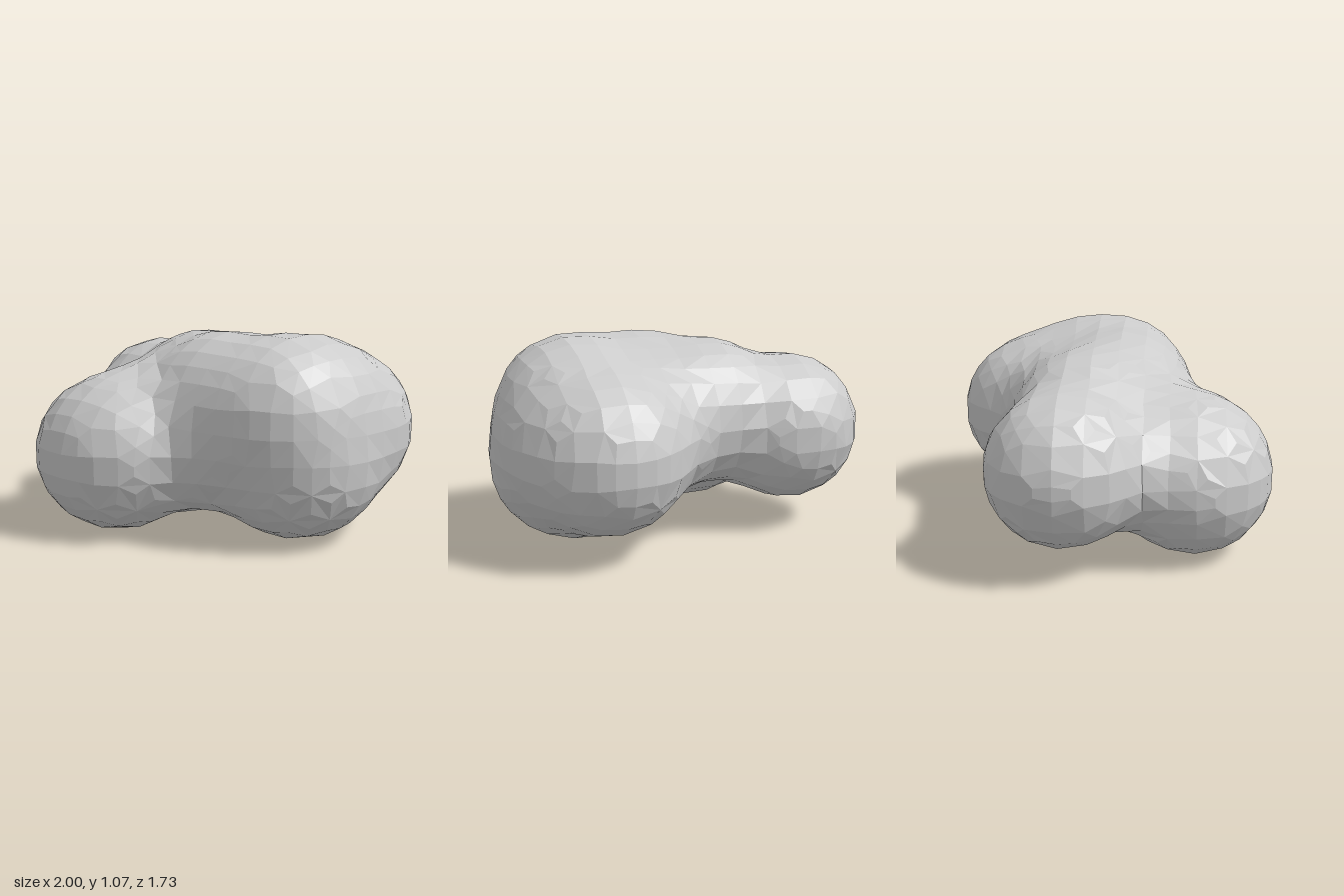
import * as THREE from 'three';

// Lobes of the blob: x, y, z, radius
const LOBES = [
  [-0.33, 0.405, 0.455, 0.393], // front, outer half
  [-0.19, 0.415, 0.455, 0.385], // front, inner half
  [-0.20, 0.55, 0.20, 0.33],    // shoulder behind the front lobe
  [-0.605, 0.53, -0.20, 0.397], // side
  [-0.45, 0.48, 0.15, 0.27],    // bridge from side to front
  [0.60, 0.415, -0.07, 0.39],   // tall end, lower outer
  [0.46, 0.415, -0.07, 0.39],   // tall end, lower inner
  [0.55, 0.68, 0.03, 0.37],     // tall end, upper front
  [0.57, 0.68, -0.17, 0.36],    // tall end, upper back
  [0.36, 0.64, 0.09, 0.345],    // front bulge of the tall end
  [0.60, 0.55, -0.33, 0.37],    // outer flank
  [0.48, 0.54, -0.465, 0.405],  // back
  [0.15, 0.66, 0.05, 0.39],     // middle
  [0.17, 0.60, -0.25, 0.35],    // middle, back half
  [-0.17, 0.64, -0.12, 0.38],   // bridge to the side lobe
  [0.15, 0.45, 0.20, 0.31],     // bridge to the front lobe
];
const BLEND = 0.05;
const STEP = 0.137;
const START = [-1.3885, -0.2825, -1.2415];
const COUNT = [21, 14, 19];

// Smoothly blended distance to all lobes, negative inside
function field(p) {
  let sum = 0;
  for (const [x, y, z, r] of LOBES) {
    sum += Math.exp((r - Math.hypot(p[0] - x, p[1] - y, p[2] - z)) / BLEND);
  }
  return -BLEND * Math.log(sum);
}

// Slide a point along the gradient onto the surface
function project(p) {
  const e = 0.001;
  for (let n = 0; n < 4; n++) {
    const d = field(p);
    const g = [0, 1, 2].map((a) => {
      const q = p.slice();
      q[a] += e;
      return (field(q) - d) / e;
    });
    const len2 = Math.max(0.3, g[0] * g[0] + g[1] * g[1] + g[2] * g[2]);
    for (let a = 0; a < 3; a++) p[a] -= (d * g[a]) / len2;
  }
  return p;
}

// Even out the vertices: move each to the mean of its quads' corners
function relax(points, quads) {
  const sums = points.map(() => [0, 0, 0, 0]);
  for (const q of quads)
    for (const i of q)
      for (const j of q) {
        for (let a = 0; a < 3; a++) sums[i][a] += points[j][a];
        sums[i][3]++;
      }
  return sums.map((s) => project([s[0] / s[3], s[1] / s[3], s[2] / s[3]]));
}

// Coarse grid surface: one vertex per crossed cell, one quad per crossed edge
function blobGeometry() {
  const id = (c) => c[0] + COUNT[0] * (c[1] + COUNT[1] * c[2]);
  const at = (c) => c.map((v, a) => START[a] + v * STEP);
  const shift = (c, a, n) => c.map((v, i) => (i === a ? v + n : v));
  const values = [];
  const cells = [];
  for (let z = 0; z < COUNT[2]; z++)
    for (let y = 0; y < COUNT[1]; y++)
      for (let x = 0; x < COUNT[0]; x++) {
        cells.push([x, y, z]);
        values.push(field(at([x, y, z])));
      }

  const order = new Map(); // cell -> vertex number
  const points = [];
  const quads = [];
  const vertex = (c) => {
    const k = id(c);
    if (!order.has(k)) {
      order.set(k, points.length);
      points.push(project(at(c).map((v) => v + STEP / 2)));
    }
    return order.get(k);
  };
  for (const c of cells) {
    for (let a = 0; a < 3; a++) {
      if (c[a] + 1 >= COUNT[a]) continue;
      const inside = values[id(c)] < 0;
      if (inside === values[id(shift(c, a, 1))] < 0) continue;
      const u = (a + 1) % 3;
      const v = (a + 2) % 3;
      const back = shift(c, u, -1);
      const ring = [c, back, shift(back, v, -1), shift(c, v, -1)].map(vertex);
      quads.push(inside ? ring : ring.reverse());
    }
  }

  const geometry = new THREE.BufferGeometry();
  const positions = relax(points, quads).flat();
  geometry.setAttribute('position', new THREE.Float32BufferAttribute(positions, 3));
  geometry.setIndex(quads.flatMap(([a, b, c, d]) => [a, b, c, a, c, d]));
  geometry.computeVertexNormals();
  return geometry;
}

export function createModel() {
  const group = new THREE.Group();
  group.name = 'lumpyBlob';
  const body = new THREE.Mesh(
    blobGeometry(),
    new THREE.MeshStandardMaterial({ color: 0xcccccc, flatShading: true })
  );
  body.name = 'body';
  group.add(body);
  return group;
}
